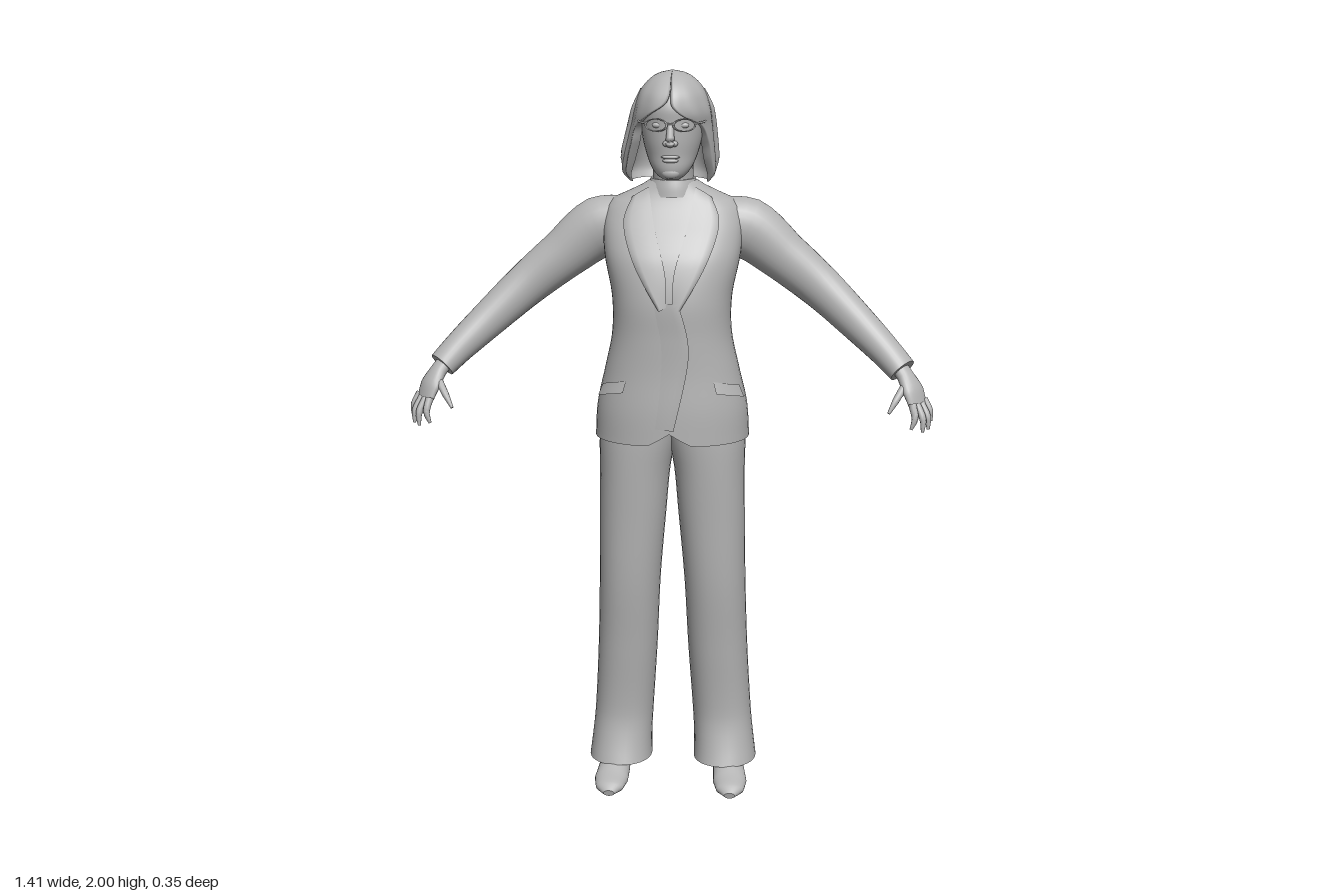
import * as THREE from 'three';

const V = (x, y, z) => new THREE.Vector3(x, y, z);
const TAU = Math.PI * 2;
const spow = (v, p) => Math.sign(v) * Math.abs(v) ** p;

// Skin a list of closed rings; optional fan caps at start and end
function loft(rings, capStart = true, capEnd = true) {
  const n = rings[0].length, pos = [], idx = [];
  for (const r of rings) for (const p of r) pos.push(p.x, p.y, p.z);
  for (let i = 0; i < rings.length - 1; i++) for (let j = 0; j < n; j++) {
    const k = (j + 1) % n, a = i * n + j, b = i * n + k;
    idx.push(a, b, b + n, a, b + n, a + n);
  }
  const cap = (ring, flip) => {
    const base = pos.length / 3, c = V(0, 0, 0);
    for (const p of ring) { pos.push(p.x, p.y, p.z); c.addScaledVector(p, 1 / n); }
    pos.push(c.x, c.y, c.z);
    for (let j = 0; j < n; j++) {
      const a = base + j, b = base + (j + 1) % n;
      idx.push(...(flip ? [b, a, base + n] : [a, b, base + n]));
    }
  };
  if (capStart) cap(rings[0], true);
  if (capEnd) cap(rings[rings.length - 1], false);
  return toGeometry(pos, idx);
}

function toGeometry(pos, idx) {
  const g = new THREE.BufferGeometry();
  g.setAttribute('position', new THREE.Float32BufferAttribute(pos, 3));
  g.setIndex(idx);
  g.computeVertexNormals();
  return g;
}

// Smooth interpolation of rows [y, ...values] by y
function profile(rows) {
  const slope = (i, c) => {
    const a = rows[Math.max(i - 1, 0)], b = rows[Math.min(i + 1, rows.length - 1)];
    return (b[c] - a[c]) / (b[0] - a[0]);
  };
  return y => {
    let i = 0;
    while (i < rows.length - 2 && y > rows[i + 1][0]) i++;
    const p = rows[i], q = rows[i + 1], h = q[0] - p[0];
    const t = THREE.MathUtils.clamp((y - p[0]) / h, 0, 1), t2 = t * t, t3 = t2 * t;
    return p.slice(1).map((v, c) => v * (2 * t3 - 3 * t2 + 1) + q[c + 1] * (3 * t2 - 2 * t3)
      + h * (slope(i, c + 1) * (t3 - 2 * t2 + t) + slope(i + 1, c + 1) * (t3 - t2)));
  };
}

const steps = (a, b, n) => Array.from({ length: n + 1 }, (_, i) => a + (b - a) * i / n);
const angles = n => steps(0, TAU, n).slice(0, n);

// Upright body from rows [y, centreX, halfWidth, zFront, zBack]
function upright(rows, count, power = 1, seg = 36) {
  const f = profile(rows);
  return loft(steps(rows[0][0], rows[rows.length - 1][0], count).map(y => {
    const [cx, w, zf, zb] = f(y);
    return angles(seg).map(a => V(cx + w * spow(Math.sin(a), power), y,
      (zf + zb) / 2 + (zf - zb) / 2 * spow(Math.cos(a), power)));
  }));
}

// Limb along rows [x, y, z, radiusUp, radiusSide]
function limb(rows, count = 20, seg = 20) {
  const curve = new THREE.CatmullRomCurve3(rows.map(r => V(r[0], r[1], r[2])));
  return loft(steps(0, 1, count).map(t => {
    const c = curve.getPoint(t), T = curve.getTangent(t);
    const W = T.clone().cross(V(0, 1, 0)).normalize(), U = W.clone().cross(T);
    const s = t * (rows.length - 1), i = Math.min(Math.floor(s), rows.length - 2), k = s - i;
    const r = [3, 4].map(m => rows[i][m] * (1 - k) + rows[i + 1][m] * k);
    return angles(seg).map(a => c.clone().addScaledVector(U, r[0] * Math.cos(a))
      .addScaledVector(W, r[1] * Math.sin(a)));
  }));
}

function mirrored(geo) {
  const g = geo.clone().scale(-1, 1, 1), ix = g.index.array;
  for (let i = 0; i < ix.length; i += 3) [ix[i], ix[i + 1]] = [ix[i + 1], ix[i]];
  g.computeVertexNormals();
  return g;
}

// Jacket surface, addressed by angle (0 = front) and height
const jacketRows = [
  [1.01, 0.21, 0.165, -0.165], [1.1, 0.204, 0.165, -0.15], [1.2, 0.182, 0.16, -0.125],
  [1.3, 0.162, 0.16, -0.115], [1.4, 0.162, 0.16, -0.12], [1.5, 0.182, 0.138, -0.138],
  [1.56, 0.188, 0.105, -0.144], [1.61, 0.186, 0.07, -0.145], [1.65, 0.165, 0.045, -0.135],
  [1.68, 0.1, 0.033, -0.115], [1.705, 0.06, 0.028, -0.095]];
const jacketAt = profile(jacketRows);
function jacketPoint(a, y, off = 0) {
  const [w, zf, zb] = jacketAt(y);
  return V((w + off) * spow(Math.sin(a), 0.88), y,
    (zf + zb) / 2 + ((zf - zb) / 2 + off) * spow(Math.cos(a), 0.88));
}
function frontPoint(x, y, off) {
  const s = THREE.MathUtils.clamp(x / jacketAt(y)[0], -0.98, 0.98);
  return jacketPoint(Math.asin(spow(s, 1 / 0.88)), y, off);
}

// Open sheet from a function of u, v
function sheet(fn, nu, nv) {
  const pos = [], idx = [];
  for (let i = 0; i <= nu; i++) for (let j = 0; j <= nv; j++) {
    pos.push(...fn(i / nu, j / nv).toArray());
    if (i < nu && j < nv) {
      const a = i * (nv + 1) + j, b = a + nv + 1;
      idx.push(a, b, b + 1, a, b + 1, a + 1);
    }
  }
  return toGeometry(pos, idx);
}
// Cloth strip on the jacket front between two edge curves of [x, y]
function clothStrip(edgeA, edgeB, offA, offB) {
  const [A, B] = [edgeA, edgeB].map(e => new THREE.SplineCurve(e.map(p => new THREE.Vector2(...p))));
  return sheet((u, v) => {
    const w = Math.min(v * 5 / 4, 1), p = A.getPoint(u).lerp(B.getPoint(u), w);
    return frontPoint(p.x, p.y, v > 0.99 ? 0 : offA + (offB - offA) * w);
  }, 24, 5);
}

export function createModel() {
  const model = new THREE.Group();
  const grey = new THREE.MeshStandardMaterial({ color: 0xb4b4b4, side: THREE.DoubleSide });
  grey.name = 'plain grey';
  const add = (name, geo) => {
    const m = new THREE.Mesh(geo, grey);
    m.name = name;
    model.add(m);
    return m;
  };
  const pair = (name, geo) => { add(name + 'Left', geo); add(name + 'Right', mirrored(geo)); };

  // Jacket with a rounded cutaway at the front hem
  add('jacket', loft(steps(1.01, 1.705, 40).map((y, i) => angles(56).map(a => {
    const p = jacketPoint(a, y);
    if (i < 3 && p.z > 0) p.y += 0.035 * (1 - i / 3) * Math.exp(-((p.x / 0.035) ** 2));
    return p;
  }))));
  pair('lapel', clothStrip([[0.06, 1.69], [0.045, 1.6], [0.012, 1.48], [0.008, 1.39]],
    [[0.1, 1.665], [0.122, 1.6], [0.092, 1.5], [0.026, 1.38]], 0.004, 0.009));
  add('jacketFrontEdge', clothStrip([[-0.06, 1.4], [-0.04, 1.25], [-0.05, 1.06]],
    [[0.024, 1.4], [0.05, 1.26], [0.012, 1.055]], -0.002, 0.007));
  pair('pocketFlap', sheet((u, v) => jacketPoint(0.62 + 0.62 * u, 1.185 - 0.022 * u - 0.032 * v,
    0.003 + 0.006 * v), 12, 2));

  // Sleeves and cuffs
  pair('sleeve', limb([[0.11, 1.58, -0.055, 0.075, 0.07], [0.2, 1.567, -0.06, 0.085, 0.068],
    [0.3, 1.493, -0.055, 0.069, 0.058], [0.4, 1.412, -0.042, 0.06, 0.052],
    [0.5, 1.323, -0.003, 0.051, 0.047], [0.58, 1.25, 0.043, 0.042, 0.043],
    [0.622, 1.208, 0.07, 0.037, 0.043]], 30, 28));

  // Hands: flat palm, four fingers and a thumb
  pair('palm', limb([[0.605, 1.225, 0.062, 0.022, 0.026], [0.63, 1.195, 0.082, 0.02, 0.027],
    [0.65, 1.16, 0.1, 0.019, 0.038], [0.663, 1.125, 0.111, 0.013, 0.036]], 12));
  const fingers = [
    [[0.648, 1.13, 0.136], [0.655, 1.095, 0.152], [0.645, 1.066, 0.157]],
    [[0.66, 1.127, 0.122], [0.677, 1.09, 0.14], [0.676, 1.056, 0.147]],
    [[0.672, 1.127, 0.106], [0.69, 1.092, 0.122], [0.692, 1.06, 0.128]],
    [[0.68, 1.135, 0.09], [0.696, 1.105, 0.1], [0.7, 1.078, 0.104]],
    [[0.628, 1.175, 0.105], [0.604, 1.14, 0.137], [0.585, 1.108, 0.153]]];
  fingers.forEach((pts, i) => pair(i < 4 ? 'finger' + (i + 1) : 'thumb', limb(
    pts.map((p, k) => [...p, [0.011, 0.0095, 0.004][k], [0.011, 0.0095, 0.004][k]]), 8, 10)));

  // Trousers, flared at the hem
  pair('trouserLeg', upright([[0.065, 0.147, 0.088, 0.088, -0.135], [0.12, 0.144, 0.084, 0.07, -0.13],
    [0.2, 0.138, 0.082, 0.056, -0.125], [0.4, 0.126, 0.083, 0.075, -0.11],
    [0.6, 0.118, 0.085, 0.1, -0.1], [0.8, 0.108, 0.092, 0.114, -0.095],
    [0.92, 0.102, 0.097, 0.122, -0.108], [1.0, 0.095, 0.105, 0.126, -0.12],
    [1.06, 0.09, 0.105, 0.126, -0.125]], 36, 0.92));

  // Pointed shoes on slim heels
  pair('shoe', limb([[0.148, 0.085, -0.105, 0.02, 0.018], [0.15, 0.085, -0.07, 0.035, 0.035],
    [0.155, 0.07, 0, 0.037, 0.038], [0.161, 0.045, 0.05, 0.038, 0.044],
    [0.166, 0.03, 0.1, 0.028, 0.047], [0.168, 0.022, 0.145, 0.02, 0.038],
    [0.168, 0.015, 0.172, 0.009, 0.015]], 24, 24));
  pair('shoeHeel', new THREE.CylinderGeometry(0.026, 0.01, 0.075, 14).translate(0.149, 0.0375, -0.085));

  // Neck and rolled collar
  add('neck', upright([[1.64, 0, 0.062, 0.03, -0.095], [1.7, 0, 0.055, 0.028, -0.09],
    [1.79, 0, 0.055, 0.05, -0.085]], 8));
  add('blouseCollar', upright([[1.665, 0, 0.073, 0.044, -0.108], [1.69, 0, 0.066, 0.04, -0.103],
    [1.71, 0, 0.06, 0.034, -0.097]], 6));

  // Head and face
  add('head', upright([[1.718, 0, 0.022, 0.085, 0.035], [1.728, 0, 0.038, 0.096, 0.005],
    [1.75, 0, 0.055, 0.102, -0.03], [1.78, 0, 0.068, 0.102, -0.07], [1.82, 0, 0.079, 0.105, -0.09],
    [1.87, 0, 0.085, 0.106, -0.1], [1.91, 0, 0.085, 0.106, -0.1], [1.95, 0, 0.07, 0.085, -0.085],
    [1.98, 0, 0.035, 0.045, -0.045]], 30));
  const blob = (x, y, z, sx, sy, sz) =>
    new THREE.SphereGeometry(1, 18, 12).scale(sx, sy, sz).translate(x, y, z);
  add('noseBridge', limb([[0, 1.872, 0.098, 0.008, 0.008], [0, 1.845, 0.107, 0.011, 0.01],
    [0, 1.82, 0.113, 0.013, 0.013], [0, 1.81, 0.108, 0.006, 0.008]], 12, 14));
  pair('nostril', blob(0.011, 1.817, 0.106, 0.009, 0.008, 0.01));
  add('upperLip', blob(0, 1.781, 0.1, 0.025, 0.005, 0.008));
  add('lowerLip', blob(0, 1.771, 0.099, 0.021, 0.006, 0.009));
  add('chin', blob(0, 1.737, 0.088, 0.024, 0.016, 0.014));
  pair('eye', blob(0.034, 1.864, 0.092, 0.015, 0.008, 0.008));

  // Spectacles
  pair('spectacleRim', new THREE.TorusGeometry(0.029, 0.0028, 6, 28).scale(1, 0.55, 1)
    .rotateY(0.25).translate(0.037, 1.866, 0.11));
  add('spectacleBridge', limb([[-0.01, 1.87, 0.117, 0.003, 0.003], [0.01, 1.87, 0.117, 0.003, 0.003]], 2, 6));
  pair('spectacleArm', limb([[0.064, 1.87, 0.103, 0.003, 0.003], [0.084, 1.87, 0.07, 0.003, 0.003],
    [0.092, 1.868, 0, 0.003, 0.003]], 8, 6));

  // Bobbed hair: [y, centreX, halfWidth, zFront, zBack, gapLeft, gapRight, innerScale]
  const hairAt = profile([[1.698, -0.01, 0.106, 0.03, -0.14, 1.35, 1.25, 0.97],
    [1.72, -0.012, 0.124, 0.05, -0.162, 1.25, 1.15, 0.88], [1.76, -0.01, 0.124, 0.072, -0.172, 1.15, 1.08, 0.82],
    [1.81, -0.006, 0.117, 0.092, -0.17, 1.08, 1.02, 0.8], [1.86, -0.002, 0.109, 0.104, -0.156, 0.85, 0.95, 0.82],
    [1.89, 0, 0.104, 0.115, -0.143, 0.3, 0.6, 0.85], [1.92, 0, 0.096, 0.113, -0.128, 0.01, 0.15, 0.86],
    [1.95, 0, 0.083, 0.1, -0.108, 0.01, 0.01, 0.86], [1.98, 0, 0.056, 0.07, -0.074, 0.01, 0.01, 0.86],
    [1.995, 0, 0.027, 0.035, -0.038, 0.01, 0.01, 0.86], [2.0, 0, 0.002, 0.002, -0.002, 0.01, 0.01, 0.86]]);
  const hairRing = y => {
    const [cx, w, zf, zb, gl, gr, inner] = hairAt(y);
    const arc = steps(Math.max(gl, 0.01), TAU - Math.max(gr, 0.01), 72);
    const wave = Math.min(1, (2 - y) * 8) * 0.018;
    const at = (a, s) => V(cx + w * s * Math.sin(a), y, (zf + zb) / 2 + (zf - zb) / 2 * s * Math.cos(a));
    return [...arc.map(a => at(a, 1 + wave * Math.cos(11 * a + 6 * y))), ...arc.reverse().map(a => at(a, inner))];
  };
  add('hair', loft(steps(1.698, 2, 40).map(hairRing), false, false));

  // Loose locks over the crown, back and sides
  [-2.6, -2.0, -1.5, 1.6, 2.2, 2.9].forEach((a, i) => {
    const pts = [1.95, 1.9, 1.83, 1.76, 1.706 + 0.006 * (i % 2)].map((y, k) => {
      const [cx, w, zf, zb] = hairAt(y), s = 1.0;
      const r = [0.003, 0.008, 0.01, 0.009, 0.002][k];
      return [cx + w * s * Math.sin(a), y, (zf + zb) / 2 + (zf - zb) / 2 * s * Math.cos(a), r, r];
    });
    add('hairLock' + (i + 1), limb(pts, 16, 8));
  });
  return model;
}
